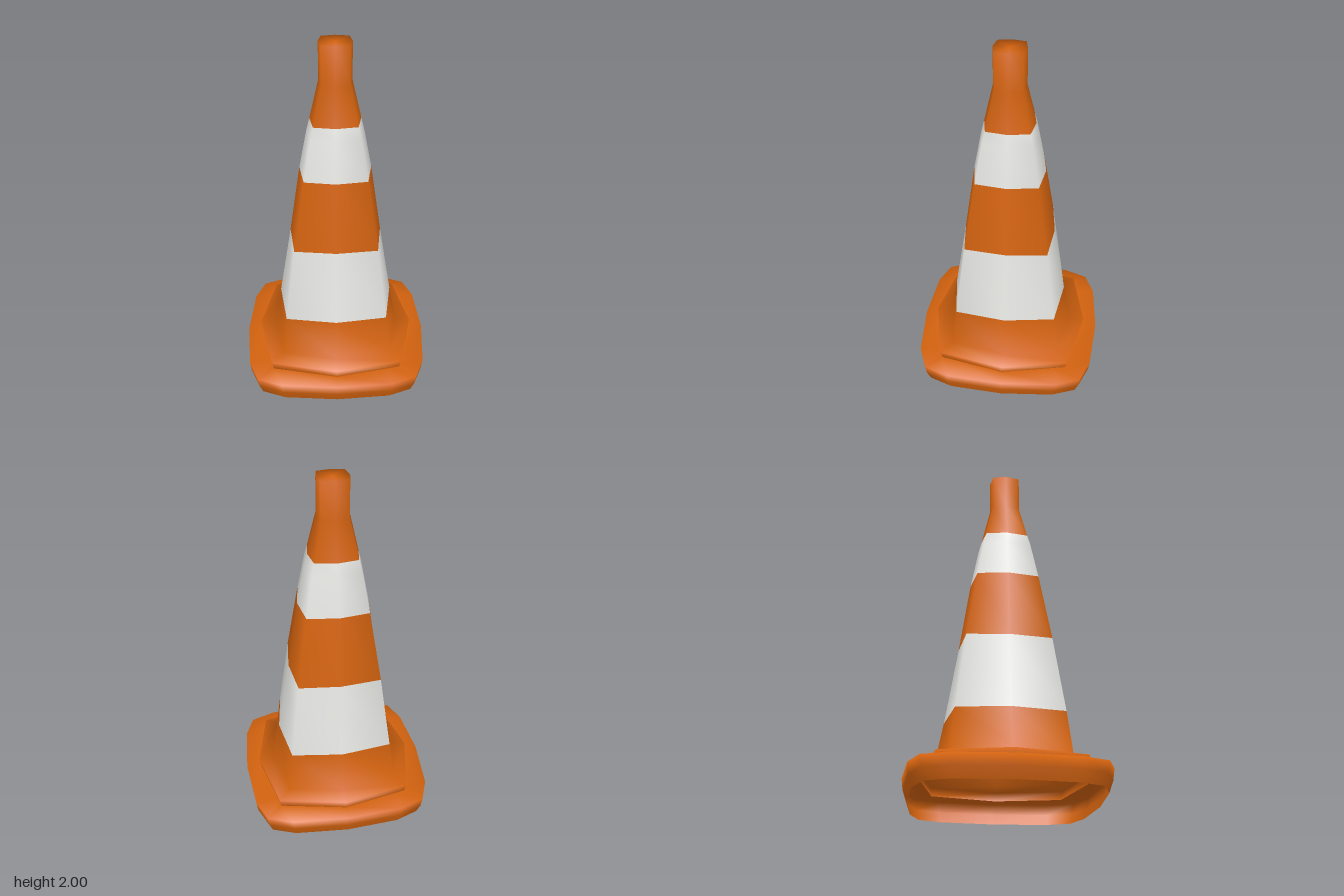
import * as THREE from 'three';

const orange = new THREE.MeshStandardMaterial({ color: 0xd2620f, side: THREE.DoubleSide });
orange.name = 'orange rubber';
const white = new THREE.MeshStandardMaterial({ color: 0xe6e6e3, side: THREE.DoubleSide });
white.name = 'white stripe';

// Squarish octagon: m = half width at the side middles, c = corner coordinate
const octagon = (m, c) => [[m, 0], [c, c], [0, m], [-c, c], [-m, 0], [-c, -c], [0, -m], [c, -c]];

// Sixteen-sided ring from one quarter, turned four times about y
const ring16 = quarter => {
  const out = [];
  for (let q = 0; q < 4; q++) {
    for (const [x, z] of quarter) out.push([[x, z], [-z, x], [-x, -z], [z, -x]][q]);
  }
  return out;
};

// Skin stacked rings from top to bottom; stripes[i] is the material index of band i
function loft(name, rings, stripes = []) {
  const n = rings[0].pts.length;
  const pos = [], index = [];
  const geo = new THREE.BufferGeometry();
  rings.forEach(({ y, pts }) => pts.forEach(([x, z]) => pos.push(x, y, z)));
  for (let r = 0; r < rings.length - 1; r++) {
    geo.addGroup(index.length, n * 6, stripes[r] || 0);
    for (let i = 0; i < n; i++) {
      const j = (i + 1) % n;
      const a = r * n + i, a2 = r * n + j, b = a + n, b2 = a2 + n;
      index.push(a, a2, b, a2, b2, b);
    }
  }
  geo.setAttribute('position', new THREE.Float32BufferAttribute(pos, 3));
  geo.setIndex(index);
  geo.computeVertexNormals();
  const mesh = new THREE.Mesh(geo, [orange, white]);
  mesh.name = name;
  return mesh;
}

export function createModel() {
  const group = new THREE.Group();
  group.name = 'trafficCone';

  // Hollow cone with closed tip, two white stripes and a flared collar: y, m, c
  const profile = [
    [2, 0, 0], [2, 0.09, 0.076], [1.79, 0.09, 0.076], [1.57, 0.14, 0.12],
    [1.5, 0.157, 0.136], [1.27, 0.2, 0.174], [0.86, 0.26, 0.234], [0.425, 0.33, 0.288],
    [0.19, 0.375, 0.312], [0.17, 0.462, 0.38], [0.12, 0.45, 0.37],
  ];
  group.add(loft('cone',
    profile.map(([y, m, c]) => ({ y, pts: octagon(m, c) })),
    [0, 0, 0, 1, 1, 0, 1]));

  // Foot: flat rim around the collar with an open, slightly tucked-in skirt
  const inner = ring16([[0.45, 0], [0.383, 0.31], [0.37, 0.37], [0.31, 0.383]]);
  const outer = ring16([[0.54, 0], [0.515, 0.32], [0.46, 0.46], [0.32, 0.515]]);
  const scaled = s => outer.map(([x, z]) => [x * s, z * s]);
  group.add(loft('foot', [
    { y: 0.12, pts: inner },
    { y: 0.12, pts: outer },
    { y: 0.06, pts: scaled(0.985) },
    { y: 0, pts: scaled(0.945) },
  ]));

  return group;
}
